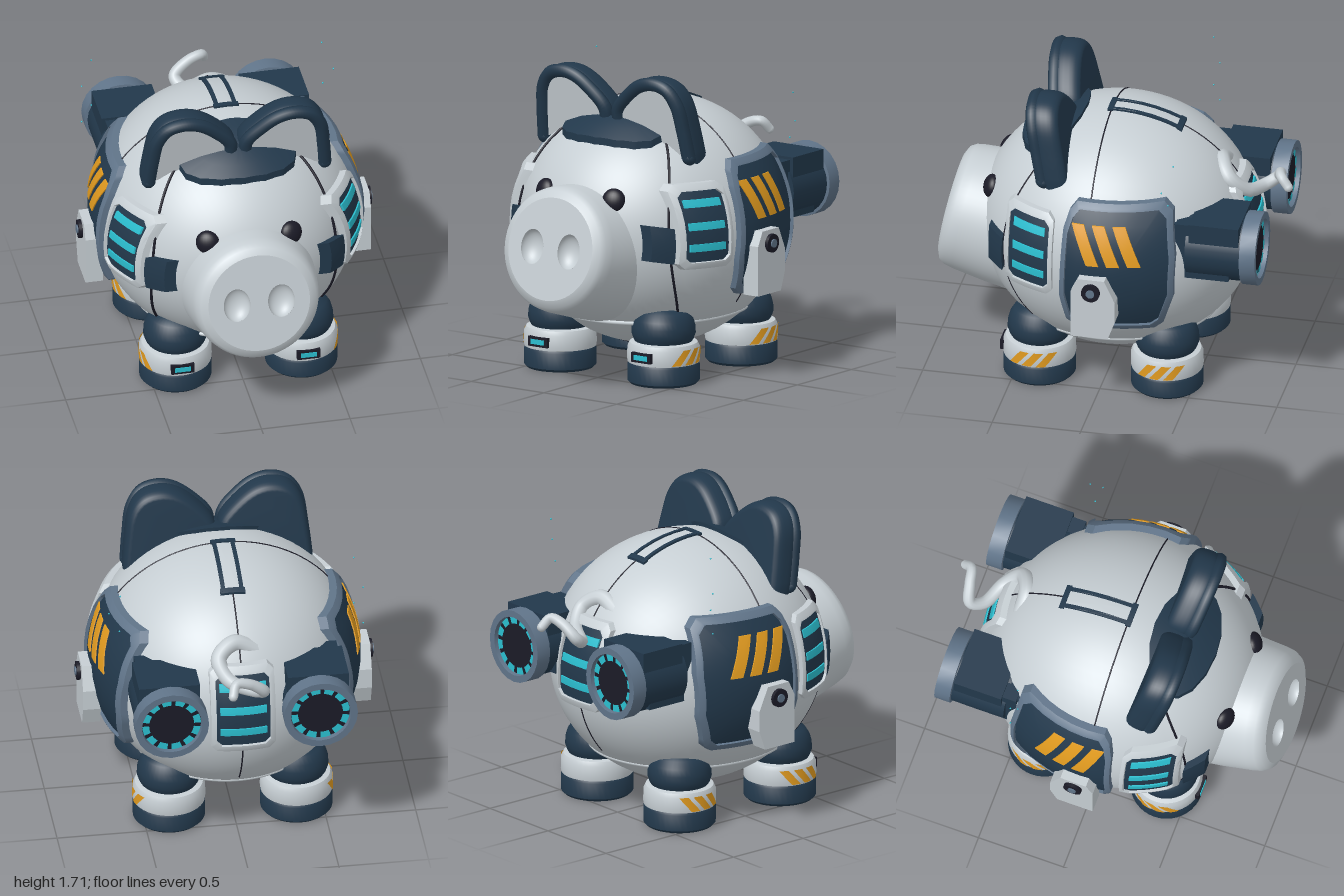
import * as THREE from 'three';
import { toCreasedNormals } from 'three/addons/utils/BufferGeometryUtils.js';

const V = (x, y, z) => new THREE.Vector3(x, y, z);
const mat = (name, color) => new THREE.MeshStandardMaterial({ name, color, side: THREE.DoubleSide });
const R = [0.73, 0.70, 0.78], C = [0, 0.82, 0]; // body ellipsoid radii and centre

// Skin through closed loops of equal length
function loft(loops, crease = 0.6) {
  const n = loops[0].length, pos = [], idx = [];
  loops.forEach(l => l.forEach(p => pos.push(p.x, p.y, p.z)));
  for (let j = 0; j < loops.length - 1; j++) for (let i = 0; i < n; i++) {
    const a = j * n + i, b = j * n + (i + 1) % n;
    idx.push(a, b, a + n, b, b + n, a + n);
  }
  const g = new THREE.BufferGeometry();
  g.setAttribute('position', new THREE.Float32BufferAttribute(pos, 3));
  g.setIndex(idx);
  return toCreasedNormals(g, crease);
}

// Point on the body: theta from the nose axis, phi around it, s = shell scale
const bodyPoint = (th, ph, s = 1) => V(
  R[0] * s * Math.sin(th) * Math.cos(ph), C[1] + R[1] * s * Math.sin(th) * Math.sin(ph), R[2] * s * Math.cos(th));

// Plate hugging the body. Outline is (z,y), (x,z) or (x,y) for axis 0, 1, 2; profile is [inset scale, shell scale]
function patch(outline, axis, sign, profile) {
  const [ua, va] = [[2, 1], [0, 2], [0, 1]][axis], pts = [], n = 5;
  outline.forEach((p, i) => {
    const q = outline[(i + 1) % outline.length];
    for (let k = 0; k < n; k++) pts.push([p[0] + (q[0] - p[0]) * k / n, p[1] + (q[1] - p[1]) * k / n]);
  });
  const c = [0, 1].map(k => pts.reduce((a, p) => a + p[k], 0) / pts.length);
  const loops = profile.map(([t, s]) => pts.map(p => {
    const o = [0, 0, 0];
    o[ua] = c[0] + (p[0] - c[0]) * t;
    o[va] = c[1] + (p[1] - c[1]) * t;
    const d = 1 - ((o[ua] - C[ua]) / (R[ua] * s)) ** 2 - ((o[va] - C[va]) / (R[va] * s)) ** 2;
    o[axis] = C[axis] + sign * R[axis] * s * Math.sqrt(Math.max(0, d));
    return V(...o);
  }));
  return loft(loops);
}
const rect = (u0, u1, v0, v1, c = 0) => c
  ? [[u0 + c, v0], [u1 - c, v0], [u1, v0 + c], [u1, v1 - c], [u1 - c, v1], [u0 + c, v1], [u0, v1 - c], [u0, v0 + c]]
  : [[u0, v0], [u1, v0], [u1, v1], [u0, v1]];
const solid = (s, base = s - 0.02) => [[1, base], [1, s], [0.66, s], [0.33, s], [0, s]];
const frame = (s, t) => [[1, 0.98], [1, s - 0.01], [(1 + 2 * t) / 3, s], [t, s], [t - 0.01, s - 0.03]];
const lathe = (pts, seg = 40) => toCreasedNormals(
  new THREE.LatheGeometry(pts.map(p => new THREE.Vector2(...p)), seg), 0.7);
const tube = (pts, r, seg = 60, closed = false) =>
  new THREE.TubeGeometry(new THREE.CatmullRomCurve3(pts, closed), seg, r, 8, closed);

export function createModel() {
  const root = new THREE.Group();
  const shell = mat('shellGrey', 0xc6ced3), navy = mat('navy', 0x22384b), steel = mat('steel', 0x607489),
    orange = mat('orange', 0xe29b1f), cyan = mat('cyan', 0x2bbfd0), dark = mat('nearBlack', 0x1b1b27);
  const add = (name, geo, m, parent = root) => {
    const mesh = new THREE.Mesh(geo, m);
    mesh.name = name;
    parent.add(mesh);
    return mesh;
  };
  const group = (name, x = 0, y = 0, z = 0) => {
    const g = new THREE.Group();
    g.name = name;
    g.position.set(x, y, z);
    root.add(g);
    return g;
  };

  // Body shell and face, parted by a bowed seam
  const N = 72, phis = Array.from({ length: N }, (_, i) => i / N * Math.PI * 2);
  const edges = phis.map(ph => {
    let lo = 0.3, hi = 1.7;
    for (let k = 0; k < 30; k++) {
      const m = (lo + hi) / 2, p = bodyPoint(m, ph);
      if (p.z > 0.54 - 0.8 * (p.y - 0.85) ** 2) lo = m; else hi = m;
    }
    return lo;
  });
  const steps = Array.from({ length: 29 }, (_, j) => j / 28);
  const shellLoops = steps.map(t => phis.map((ph, i) => bodyPoint(edges[i] + (Math.PI - edges[i]) * t, ph)));
  shellLoops.unshift(phis.map((ph, i) => bodyPoint(edges[i], ph, 0.96)));
  add('bodyShell', loft(shellLoops), shell);
  add('face', loft(steps.map(t => phis.map((ph, i) => bodyPoint((edges[i] + 0.05) * t, ph, 0.987)))), shell);
  add('faceSeam', tube(phis.map((ph, i) => bodyPoint(edges[i] - 0.005, ph, 0.992)), 0.008, 144, true), dark);
  add('bellyLip', tube(phis.map(a => V(0.521 * Math.cos(a), 0.335, 0.557 * Math.sin(a))), 0.012, 96, true), shell);

  // Panel seams across the body and down the back
  const across = [], back = [];
  for (let i = 0; i <= 40; i++) {
    across.push(bodyPoint(1.532, -0.6 + i / 40 * (Math.PI + 1.2)));
    const a = 2.06 + i / 40 * 1.75;
    back.push(V(0, C[1] + R[1] * Math.sin(a), R[2] * Math.cos(a)));
  }
  add('crossSeam', tube(across, 0.004, 80), dark);
  add('backSeam', tube(back, 0.004, 60), dark);

  // Coin slot
  add('slotFloor', patch(rect(-0.045, 0.045, -0.35, 0.03), 1, 1, solid(1.004)), shell);
  [[-0.062, -0.04, -0.36, 0.04], [0.04, 0.062, -0.36, 0.04], [-0.07, 0.07, -0.37, -0.34], [-0.07, 0.07, 0.02, 0.05]]
    .forEach(r => add('slotFrame', patch(rect(...r), 1, 1, solid(1.016, 0.99)), navy));

  // Snout with hollow nostrils
  const snout = group('snout', 0, 0.8, 0.94);
  snout.rotation.x = -0.19;
  add('snoutCone', lathe([[0.39, -0.5], [0.375, -0.28], [0.355, -0.1], [0.345, -0.05], [0.325, -0.018], [0.285, 0]], 64)
    .rotateX(Math.PI / 2), shell, snout);
  const disc = new THREE.Shape().absarc(0, 0, 0.286, 0, Math.PI * 2);
  for (const s of [-1, 1]) {
    disc.holes.push(new THREE.Path().absellipse(s * 0.125, 0, 0.075, 0.098, 0, Math.PI * 2, true));
    add('nostril', new THREE.SphereGeometry(1, 32, 10, 0, Math.PI * 2, Math.PI / 2, Math.PI / 2)
      .rotateX(Math.PI / 2).scale(0.075, 0.098, 0.06).translate(s * 0.125, 0, 0), shell, snout);
  }
  add('snoutFront', new THREE.ShapeGeometry(disc, 32), shell, snout);

  // Forehead plate
  const oval = Array.from({ length: 16 }, (_, i) => [0.33 * Math.cos(i * Math.PI / 8), 0.35 + 0.18 * Math.sin(i * Math.PI / 8)]);
  add('foreheadPlate', patch(oval, 1, 1, solid(1.03, 0.98)), navy);

  // Tapered curly tail
  const tailCurve = new THREE.CatmullRomCurve3([V(-0.1, 1.2, -0.58), V(0.03, 1.26, -0.59), V(0.12, 1.2, -0.65),
    V(0.07, 1.11, -0.74), V(-0.06, 1.08, -0.81), V(-0.1, 1.12, -0.88), V(-0.02, 1.19, -0.91), V(0.06, 1.21, -0.93), V(0.085, 1.16, -0.975)]);
  const tail = new THREE.TubeGeometry(tailCurve, 80, 0.052, 12), tp = tail.attributes.position;
  for (let i = 0; i < tp.count; i++) {
    const t = Math.floor(i / 13) / 80, c = tailCurve.getPointAt(t);
    const p = V().fromBufferAttribute(tp, i).sub(c).multiplyScalar(1 - 0.5 * t).add(c);
    tp.setXYZ(i, p.x, p.y, p.z);
  }
  add('tail', tail, shell);
  add('tailTip', new THREE.SphereGeometry(0.026, 12, 8).translate(0.085, 1.16, -0.975), shell);

  // Framed vent with glowing bars
  const vent = (axis, sign, u0, u1, v0, v1, bars) => {
    add('ventFrame', patch(rect(u0, u1, v0, v1, 0.035), axis, sign, frame(1.05, 0.84)), shell);
    add('ventPanel', patch(rect(u0 + 0.015, u1 - 0.015, v0 + 0.02, v1 - 0.02, 0.03), axis, sign, solid(1.03)), navy);
    bars.forEach(y => add('ventBar', patch(rect(u0 + 0.05, u1 - 0.05, y - 0.021, y + 0.021), axis, sign, solid(1.04)), cyan));
  };
  vent(2, -1, -0.18, 0.18, 0.68, 1.18, [0.81, 0.94, 1.07]);

  const panel = [[0.1, 1.24], [-0.37, 1.24], [-0.42, 1.19], [-0.45, 0.95], [-0.44, 0.7], [-0.38, 0.52], [-0.33, 0.48],
    [0.1, 0.49], [0.15, 0.53], [0.18, 0.7], [0.165, 1.1], [0.14, 1.19]];
  const earOuter = [[0.04, 1.42], [0.05, 1.5], [0.13, 1.59], [0.22, 1.655], [0.31, 1.675], [0.4, 1.65], [0.455, 1.57], [0.48, 1.42], [0.495, 1.27]];

  for (const s of [-1, 1]) {
    // Eyes and cheek blocks
    const eye = add('eye', new THREE.SphereGeometry(1, 24, 16).scale(0.066, 0.066, 0.042), dark);
    eye.position.set(s * 0.235, 1.06, 0.67);
    eye.rotation.set(-0.3, s * 0.35, 0);
    add('cheekBlock', patch([[0.635, 0.735], [0.54, 0.715], [0.54, 0.915], [0.635, 0.935]], 0, s, solid(1.04, 0.95)), navy);

    // Ears: navy back, rounded rim, grey inside, leaning forward
    const pts = earOuter.map(([x, y]) => [s * x, y]);
    const shape = new THREE.Shape();
    shape.moveTo(...pts[0]);
    shape.splineThru(pts.slice(1).map(p => new THREE.Vector2(...p)));
    shape.closePath();
    const lean = g => g.applyMatrix4(new THREE.Matrix4().set(1, 0, 0, 0, 0, 1, 0, 0, 0, 0.2, 1, -0.28, 0, 0, 0, 1));
    const earBack = new THREE.ExtrudeGeometry(shape, { depth: 0.03, bevelThickness: 0.06, bevelSize: 0.035, bevelSegments: 5, curveSegments: 6 });
    add('earBack', lean(toCreasedNormals(earBack.translate(0, 0, 0.265), 0.8)), navy);
    add('earRim', lean(tube(pts.map(p => V(p[0], p[1], 0.35)), 0.04, 60)), navy);
    add('earInner', lean(new THREE.ShapeGeometry(shape, 6).translate(0, 0, 0.362)), shell);
    add('earFoot', lean(new THREE.SphereGeometry(0.04, 12, 8).translate(s * 0.495, 1.27, 0.35)), navy);

    // Side vent and side panel with stripes
    vent(0, s, 0.225, 0.52, 0.68, 1.15, [0.8, 0.92, 1.045]);
    add('sidePanelFrame', patch(panel, 0, s, frame(1.055, 0.91)), steel);
    add('sidePanel', patch(panel, 0, s, [[0.93, 1.03], [0.7, 1.035], [0.45, 1.035], [0.2, 1.035], [0, 1.035]]), navy);
    for (let i = 0; i < 3; i++) {
      const z = 0.12 - i * 0.115;
      add('panelStripe', patch([[z, 1.13], [z - 0.07, 1.13], [z - 0.165, 0.91], [z - 0.095, 0.91]], 0, s, solid(1.043, 1.034)), orange);
    }

    // Hip bracket and bolt
    const hip = new THREE.Shape([[0.06, 0.85], [-0.09, 0.85], [-0.15, 0.72], [-0.15, 0.6], [-0.11, 0.49], [0.1, 0.49], [0.1, 0.77]]
      .map(([z, y]) => new THREE.Vector2(-z, y)));
    add('hipBracket', new THREE.ExtrudeGeometry(hip, { depth: 0.1, bevelEnabled: false })
      .rotateY(Math.PI / 2).translate(s > 0 ? 0.705 : -0.805, 0, 0), shell);
    const bolt = (name, r, x, m) => add(name, new THREE.CylinderGeometry(r, r, 0.06, 20).rotateZ(Math.PI / 2).translate(s * x, 0.775, -0.015), m);
    bolt('hipBolt', 0.052, 0.795, dark);
    bolt('hipBoltCore', 0.024, 0.803, steel);

    // Rear thrusters
    const jet = group('thruster', s * 0.415, 0.945, -0.9);
    add('thrusterBody', new THREE.CylinderGeometry(0.19, 0.19, 0.32, 24).rotateX(Math.PI / 2).translate(0, 0, 0.24), navy, jet);
    add('thrusterMount', new THREE.BoxGeometry(0.32, 0.33, 0.3).translate(s * -0.01, 0.015, 0.31), navy, jet);
    add('thrusterBlock', new THREE.BoxGeometry(0.34, 0.17, 0.28).translate(0, 0.11, 0.24), navy, jet);
    add('thrusterArm', new THREE.BoxGeometry(0.2, 0.3, 0.12).translate(s * 0.03, 0.02, 0.42), navy, jet);
    add('thrusterRing', lathe([[0.165, 0.03], [0.168, 0], [0.206, 0], [0.206, 0.09], [0.18, 0.095]], 24).rotateX(Math.PI / 2), steel, jet);
    add('thrusterNozzle', new THREE.CircleGeometry(0.17, 32).rotateY(Math.PI).translate(0, 0, 0.028), dark, jet);
    for (let i = 0; i < 12; i++) add('thrusterGlow',
      new THREE.RingGeometry(0.125, 0.163, 4, 1, i * Math.PI / 6, 0.37).rotateY(Math.PI).translate(0, 0, 0.022), cyan, jet);

    // Legs with hollow feet and striped cuffs
    for (const z of [0.37, -0.35]) {
      const leg = group(z > 0 ? 'frontLeg' : 'rearLeg', s * 0.355, 0, z);
      add('foot', lathe([[0, 0.06], [0.115, 0.06], [0.13, 0], [0.185, 0], [0.2, 0.015], [0.2, 0.105], [0.19, 0.12]]), navy, leg);
      add('cuff', lathe([[0.18, 0.115], [0.199, 0.12], [0.202, 0.14], [0.2, 0.205], [0.188, 0.23], [0.15, 0.238]]), shell, leg);
      add('ankle', lathe([[0.15, 0.22], [0.168, 0.25], [0.178, 0.28], [0.176, 0.32], [0.165, 0.36], [0.14, 0.4], [0.08, 0.425], [0, 0.43]]), navy, leg);
      for (let i = -1; i <= 1; i++) {
        const g = new THREE.CylinderGeometry(0.204, 0.204, 0.085, 5, 4, true, Math.PI / 2 - 0.13 + i * 0.4, 0.26), p = g.attributes.position;
        for (let k = 0; k < p.count; k++) {
          const a = Math.atan2(p.getZ(k), p.getX(k)) - p.getY(k) * 4.2;
          p.setXYZ(k, s * 0.204 * Math.cos(a), p.getY(k) + 0.168, 0.204 * Math.sin(a));
        }
        g.computeVertexNormals();
        add('cuffStripe', g, orange, leg);
      }
      if (z > 0) {
        add('cuffBadge', new THREE.BoxGeometry(0.13, 0.055, 0.03).translate(0, 0.168, 0.197), dark, leg);
        add('cuffLight', new THREE.BoxGeometry(0.09, 0.028, 0.008).translate(0, 0.168, 0.212), cyan, leg);
      }
    }
  }

  // Floating sparks
  [[-0.67, 1.63, -0.39], [-0.72, 1.445, -0.415], [-0.67, 1.33, -0.39], [-0.72, 1.21, -0.415],
    [0.64, 1.53, -0.445], [0.695, 1.385, -0.39], [0.64, 1.28, -0.415]]
    .forEach(p => add('spark', new THREE.SphereGeometry(0.005, 6, 4).translate(...p), cyan));
  return root;
}
